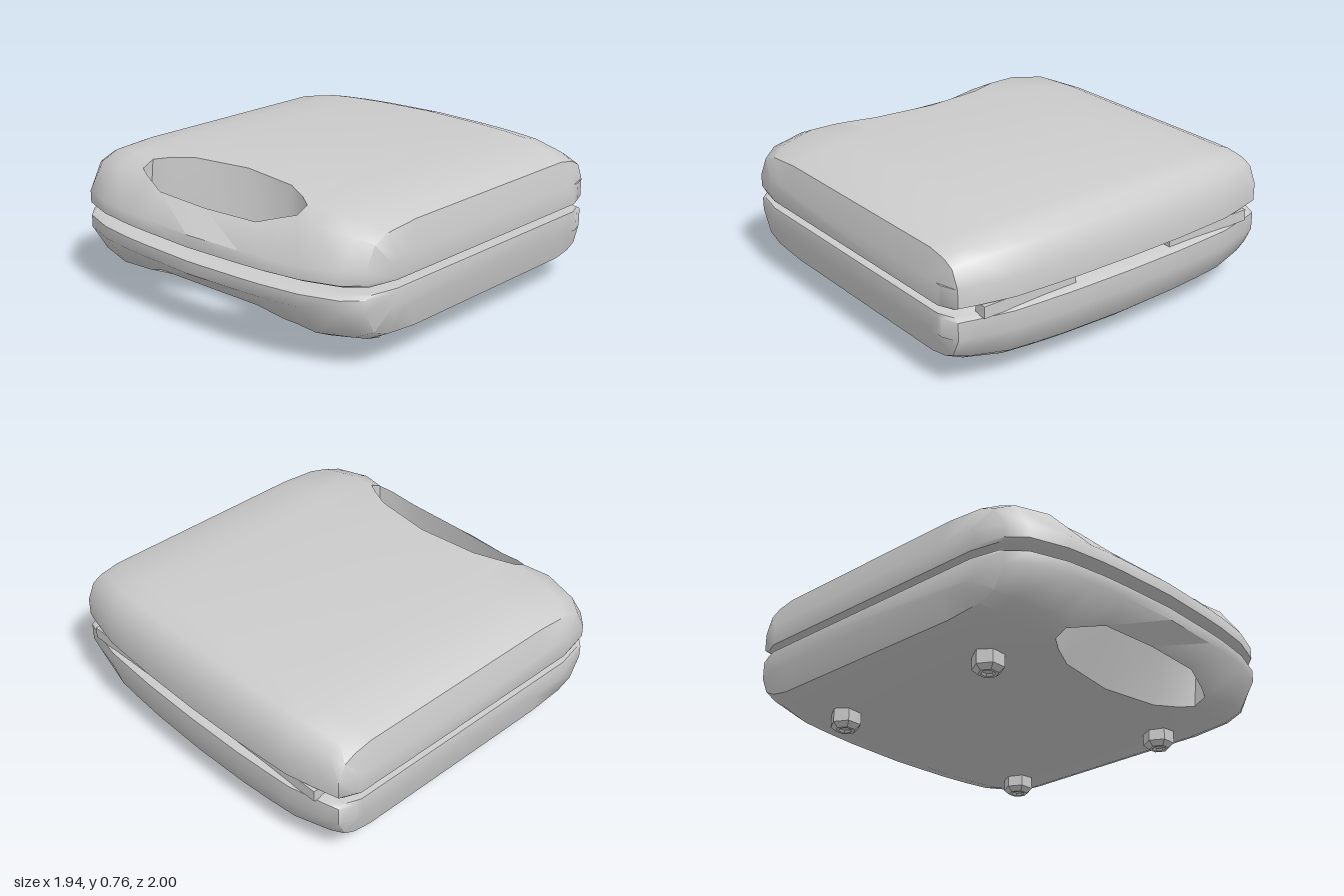
import * as THREE from 'three';
import { toCreasedNormals } from 'three/addons/utils/BufferGeometryUtils.js';

const MID = 0.412; // height of the parting gap

// Half of the shell sections, from the middle to the side:
// x, back z, front z, crown y, lip z, lip y, hole rear z, hole rear y, hole rear z at base, crown end z
const HALF = [
  [0, -1, 1, 0.757, 0.88, 0.612, 0.585, 0.742, 0.70, 0.45],
  [0.33, -0.995, 0.985, 0.751, 0.868, 0.618, 0.628, 0.737, 0.72, 0.45],
  [0.46, -0.988, 0.975, 0.747, 0.83, 0.66, 0.69, 0.725, 0.745, 0.45],
  [0.53, -0.984, 0.965, 0.744, 0.80, 0.68, 0.735, 0.712, 0.765, 0.45],
  [0.67, -0.975, 0.945, 0.735, 0.83, 0.67, 0.72, 0.72, 0.72, 0.45],
  [0.86, -0.932, 0.88, 0.705, 0.79, 0.65, 0.69, 0.69, 0.69, 0.45],
  [0.94, -0.91, 0.80, 0.672, 0.74, 0.62, 0.65, 0.655, 0.65, 0.45],
  [0.972, -0.83, 0.65, 0.54, 0.62, 0.54, 0.55, 0.54, 0.55, 0.42],
];
const HOLE_X = 0.53;

// One closed section: back, crown, hole edges, front, underside
function section([x, zb, zf, H, cz, cy, dz, dy, dbz, ez]) {
  const rise = f => 0.54 + (H - 0.54) * f;
  return [
    [zb + 0.03, 0.432], [zb, 0.447], [zb, 0.54], [zb + 0.04, rise(0.65)],
    [zb + 0.1, rise(0.87)], [zb + 0.2, H], [ez, H],
    [dz, dy], [cz, cy], // rear and front edge of the hole
    [zf, Math.min(0.51, cy)], [zf, 0.447], [zf - 0.03, 0.432],
    [cz, 0.432], [dbz, 0.432], // the same edges on the underside
  ].map(([z, y]) => [x, y, z]);
}
const D = 7, C = 8, CB = 12, DB = 13;

function shellGeometry(flip) {
  const left = HALF.slice(1).reverse().map(([x, ...r]) => [-x, ...r]);
  const rows = [...left, ...HALF];
  const cols = rows.map(section);
  const pos = [];
  const tri = (a, b, c) => {
    for (const p of flip ? [a, c, b] : [a, b, c]) pos.push(p[0], flip ? 2 * MID - p[1] : p[1], p[2]);
  };
  const quad = (a, b, c, d) => { tri(a, b, c); tri(a, c, d); };

  for (let i = 0; i < cols.length - 1; i++) {
    const p = cols[i], q = cols[i + 1], n = p.length;
    const inHole = Math.abs(p[0][0] + q[0][0]) / 2 < HOLE_X;
    for (let j = 0; j < n; j++) {
      if (inHole && (j === D || j === CB)) continue;
      const k = (j + 1) % n;
      quad(p[j], p[k], q[k], q[j]);
    }
    if (inHole) { // walls of the handle hole
      quad(p[D], p[DB], q[DB], q[D]);
      quad(q[C], q[CB], p[CB], p[C]);
    }
  }
  // Short end walls of the hole
  for (const p of cols) {
    if (p[0][0] === -HOLE_X) quad(p[D], p[C], p[CB], p[DB]);
    if (p[0][0] === HOLE_X) quad(p[DB], p[CB], p[C], p[D]);
  }
  // Flat sides
  const a = cols[0], b = cols[cols.length - 1];
  for (let j = 1; j < a.length - 1; j++) {
    tri(a[0], a[j + 1], a[j]);
    tri(b[0], b[j], b[j + 1]);
  }
  const g = new THREE.BufferGeometry();
  g.setAttribute('position', new THREE.Float32BufferAttribute(pos, 3));
  return toCreasedNormals(g, 0.85);
}

export function createModel() {
  const group = new THREE.Group();
  const material = new THREE.MeshStandardMaterial({ color: 0xcccccc });
  const add = (name, geometry, x = 0, y = 0, z = 0) => {
    const mesh = new THREE.Mesh(geometry, material);
    mesh.name = name;
    mesh.position.set(x, y, z);
    group.add(mesh);
    return mesh;
  };

  add('upperShell', shellGeometry(false));
  add('lowerShell', shellGeometry(true));

  // Heating plates facing each other across the gap
  const plate = new THREE.BoxGeometry(1.72, 0.03, 1.41);
  add('upperPlate', plate, 0, MID + 0.02, -0.085);
  add('lowerPlate', plate, 0, MID - 0.02, -0.085);

  // Hinges at the back
  const hinge = new THREE.BoxGeometry(0.53, 0.06, 0.065);
  for (const s of [-1, 1]) add(s > 0 ? 'leftHinge' : 'rightHinge', hinge, s * 0.565, MID, -0.925);

  // Six-sided feet with a dimpled sole
  const profile = [[0, 0.012], [0.028, 0.012], [0.036, 0], [0.052, 0], [0.08, 0.025], [0.08, 0.11]]
    .map(([r, y]) => new THREE.Vector2(r, y));
  const foot = toCreasedNormals(new THREE.LatheGeometry(profile, 6, Math.PI / 6), 0.6);
  for (const x of [-0.64, 0.64]) for (const z of [0.415, -0.59]) add('foot', foot, x, 0, z);

  return group;
}
